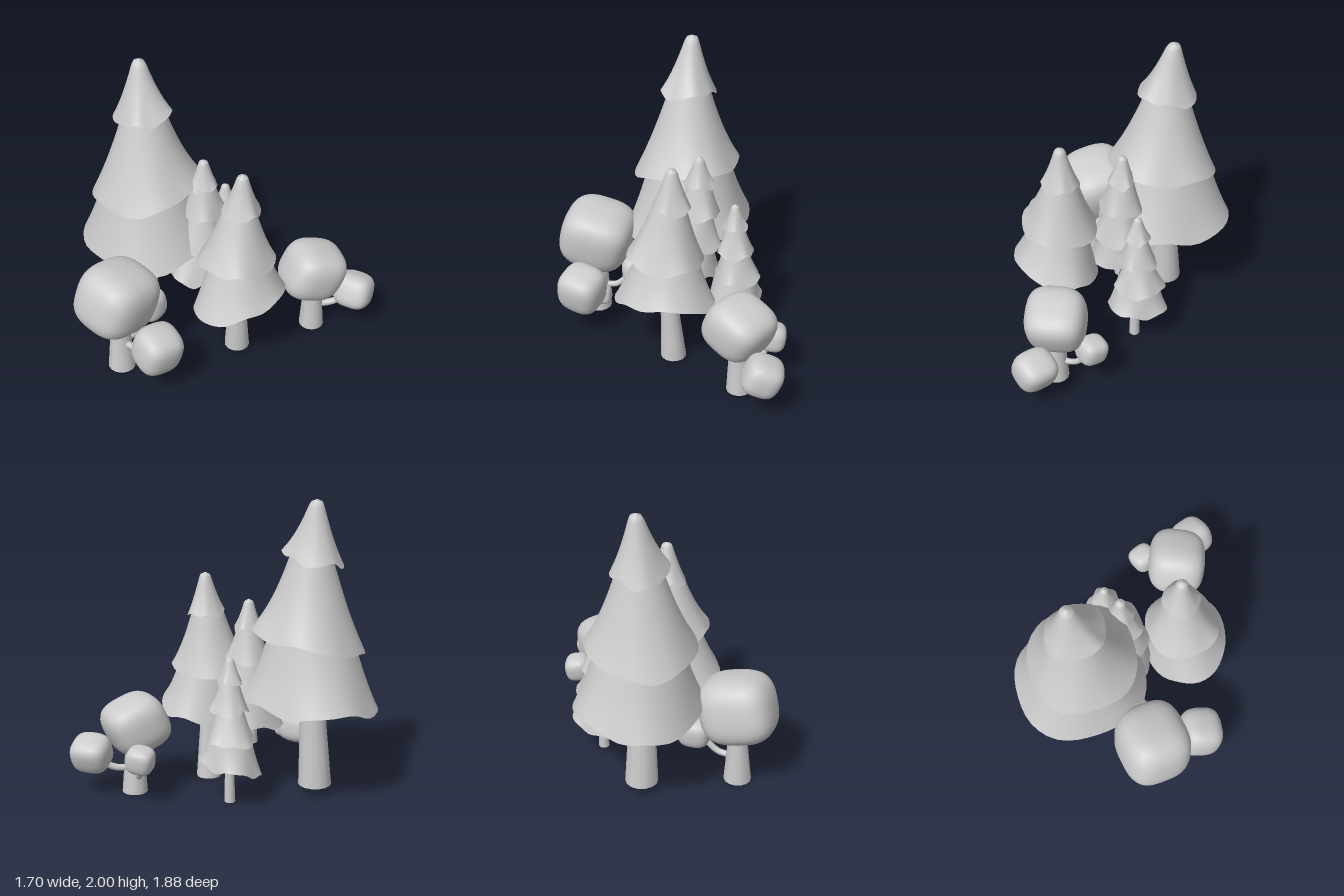
import * as THREE from 'three';
import { mergeVertices } from 'three/addons/utils/BufferGeometryUtils.js';

const material = new THREE.MeshStandardMaterial({ color: 0xcccccc, side: THREE.DoubleSide });

function addMesh(parent, name, geometry) {
  const mesh = new THREE.Mesh(geometry, material);
  mesh.name = name;
  parent.add(mesh);
  return mesh;
}

function addGroup(parent, name) {
  const group = new THREE.Group();
  group.name = name;
  parent.add(group);
  return group;
}

// Open trunk, narrowing quickly near the foot, leaning from base to top; both are [x, y, z, radius]
function trunk(parent, base, top) {
  const height = top[1] - base[1];
  const geometry = new THREE.CylinderGeometry(1, 1, 1, 14, 4, true);
  const pos = geometry.attributes.position;
  for (let i = 0; i < pos.count; i++) {
    const t = pos.getY(i) + 0.5;
    const r = THREE.MathUtils.lerp(base[3], top[3], Math.min(1, t * 1.6));
    pos.setXYZ(i,
      THREE.MathUtils.lerp(base[0], top[0], t) + pos.getX(i) * r,
      base[1] + t * height,
      THREE.MathUtils.lerp(base[2], top[2], t) + pos.getZ(i) * r);
  }
  geometry.computeVertexNormals();
  addMesh(parent, 'trunk', geometry);
}

// Skirt of needles swept in rings from top [x, y, z, radius] to a wavy rim
// [x, y, z, radiusX, radiusZ], with a hollow underside
function tier(parent, name, top, rim, { tilt = [0, 0], wave = 0.02, seed = 0, lobe = 0.06, phase = seed, apex = false } = {}) {
  const segments = 40, rows = 9;
  const skirt = [], under = [];
  const point = (t, s, j) => {
    const a = (j / segments) * Math.PI * 2, c = Math.cos(a), n = Math.sin(a);
    const ragged = Math.sin(3 * a + seed) * 0.6 + Math.sin(5 * a + seed * 2.3) * 0.4
      + Math.sin(8 * a + seed * 1.7) * 0.25;
    const flare = 0.8 * t + 0.2 * t * t * t;
    const grow = 1 + lobe * Math.sin(4 * a + phase) * t * t;
    const rx = THREE.MathUtils.lerp(top[3], rim[3] * grow, flare) * s;
    const rz = THREE.MathUtils.lerp(top[3], rim[4] * grow, flare) * s;
    const y = THREE.MathUtils.lerp(top[1], rim[1], t)
      + t * t * (wave * ragged + tilt[0] * c * rim[3] + tilt[1] * n * rim[4]);
    return [
      THREE.MathUtils.lerp(top[0], rim[0], t) + c * rx, y,
      THREE.MathUtils.lerp(top[2], rim[2], t) + n * rz];
  };
  const rise = (top[1] - rim[1]) * 0.25;
  const rings = [];
  if (apex) rings.push([0, 0]);
  for (let i = 0; i <= rows; i++) rings.push([i / rows, 1]);
  for (const [t, s] of rings)
    for (let j = 0; j < segments; j++) {
      const p = point(t, s, j);
      if (apex && t === 0 && s === 1) p[1] -= 0.015;
      skirt.push(...p);
    }
  for (const s of [1, 0.7, 0.35, 0])
    for (let j = 0; j < segments; j++) {
      const p = point(1, s, j);
      p[1] = THREE.MathUtils.lerp(rim[1] + rise, p[1], s);
      under.push(...p);
    }
  const surface = (vertices) => {
    const index = [], count = vertices.length / 3 / segments;
    for (let i = 0; i < count - 1; i++)
      for (let j = 0; j < segments; j++) {
        const k = (j + 1) % segments;
        const a = i * segments + j, b = i * segments + k;
        index.push(a, b, a + segments, b, b + segments, a + segments);
      }
    const geometry = new THREE.BufferGeometry();
    geometry.setAttribute('position', new THREE.Float32BufferAttribute(vertices, 3));
    geometry.setIndex(index);
    geometry.computeVertexNormals();
    return geometry;
  };
  const group = addGroup(parent, name);
  addMesh(group, 'needles', surface(skirt));
  addMesh(group, 'underside', surface(under));
}

// Rounded, slightly turned cube of leaves fitted between two corners
function foliage(parent, name, min, max, turn) {
  let geometry = new THREE.BoxGeometry(2, 2, 2, 10, 10, 10);
  geometry.deleteAttribute('normal');
  geometry.deleteAttribute('uv');
  geometry = mergeVertices(geometry);
  const pos = geometry.attributes.position;
  const p = new THREE.Vector3();
  for (let i = 0; i < pos.count; i++) {
    p.fromBufferAttribute(pos, i);
    const n = Math.pow(Math.abs(p.x) ** 3 + Math.abs(p.y) ** 3 + Math.abs(p.z) ** 3, 1 / 3);
    p.divideScalar(n);
    pos.setXYZ(i, p.x, p.y, p.z);
  }
  geometry.rotateX(turn[0]).rotateY(turn[1]).rotateZ(turn[2]);
  geometry.center();
  geometry.computeBoundingBox();
  const size = geometry.boundingBox.getSize(new THREE.Vector3());
  geometry.scale(...size.toArray().map((s, i) => (max[i] - min[i]) / s));
  geometry.translate(...min.map((m, i) => (m + max[i]) / 2));
  geometry.computeVertexNormals();
  addMesh(parent, name, geometry);
}

function branch(parent, radius, ...points) {
  const curve = new THREE.CatmullRomCurve3(points.map((q) => new THREE.Vector3(...q)));
  addMesh(parent, 'branch', new THREE.TubeGeometry(curve, 10, radius, 8));
}

export function createModel() {
  const model = new THREE.Group();
  model.name = 'grove';

  // Tall pine
  const tall = addGroup(model, 'tallPine');
  trunk(tall, [-0.44, 0.07, 0.15, 0.11], [-0.41, 0.85, 0.14, 0.085]);
  tier(tall, 'lowerTier', [-0.42, 1.3, 0.12, 0.22], [-0.41, 0.645, 0.12, 0.455, 0.415],
    { tilt: [0.02, -0.1], wave: 0.03, seed: 3.6, lobe: 0.03, phase: -1.57 });
  tier(tall, 'middleTier', [-0.41, 1.68, 0.12, 0.12], [-0.39, 1.07, 0.13, 0.365, 0.355],
    { tilt: [0.13, -0.15], wave: 0.02, seed: 2.4, lobe: 0.03, phase: -1.57 });
  tier(tall, 'topTier', [-0.45, 2.0, 0.12, 0.036], [-0.415, 1.61, 0.13, 0.2, 0.18],
    { tilt: [0.15, -0.1], wave: 0.025, seed: 4, lobe: 0.04, apex: true });

  // Medium pine
  const medium = addGroup(model, 'mediumPine');
  trunk(medium, [0.325, 0, -0.045, 0.085], [0.35, 0.65, -0.01, 0.058]);
  tier(medium, 'lowerTier', [0.35, 0.95, -0.02, 0.15], [0.38, 0.475, -0.005, 0.28, 0.335],
    { tilt: [0.25, -0.06], wave: 0.025, seed: 2, lobe: 0.01 });
  tier(medium, 'middleTier', [0.34, 1.22, -0.03, 0.09], [0.35, 0.79, 0, 0.25, 0.255],
    { tilt: [0.03, 0.08], wave: 0.025, seed: 5, lobe: 0.03 });
  tier(medium, 'topTier', [0.345, 1.44, -0.045, 0.03], [0.345, 1.16, -0.04, 0.125, 0.13],
    { wave: 0.02, seed: 0.7, lobe: 0.03, apex: true });

  // Two slender pines with four tiers each
  const slender = addGroup(model, 'slenderPine');
  trunk(slender, [-0.06, 0.34, -0.06, 0.045], [-0.06, 0.75, -0.07, 0.035]);
  tier(slender, 'firstTier', [-0.06, 0.78, -0.06, 0.11], [-0.05, 0.46, -0.01, 0.18, 0.2], { wave: 0.03, seed: 3 });
  tier(slender, 'secondTier', [-0.06, 1.0, -0.07, 0.08], [-0.05, 0.68, -0.05, 0.17, 0.18], { wave: 0.02, seed: 1.2 });
  tier(slender, 'thirdTier', [-0.06, 1.2, -0.08, 0.06], [-0.05, 0.92, -0.08, 0.14, 0.145], { wave: 0.02, seed: 5 });
  tier(slender, 'topTier', [-0.06, 1.33, -0.08, 0.025], [-0.055, 1.13, -0.08, 0.09, 0.1],
    { wave: 0.02, seed: 2, apex: true });

  const small = addGroup(model, 'smallPine');
  trunk(small, [-0.09, 0, -0.315, 0.036], [-0.09, 0.5, -0.32, 0.028]);
  tier(small, 'firstTier', [-0.1, 0.52, -0.32, 0.12], [-0.105, 0.25, -0.325, 0.205, 0.185],
    { tilt: [0.12, -0.2], wave: 0.025, seed: 3, phase: -1.57 });
  tier(small, 'secondTier', [-0.1, 0.68, -0.32, 0.075], [-0.115, 0.44, -0.34, 0.165, 0.155], { wave: 0.02, seed: 1 });
  tier(small, 'thirdTier', [-0.1, 0.87, -0.32, 0.05], [-0.1, 0.64, -0.33, 0.125, 0.125], { wave: 0.02, seed: 5 });
  tier(small, 'topTier', [-0.1, 1.0, -0.32, 0.02], [-0.1, 0.83, -0.325, 0.085, 0.08],
    { wave: 0.015, seed: 2, apex: true });

  // Front round tree
  const front = addGroup(model, 'frontRoundTree');
  trunk(front, [-0.05, 0, 0.675, 0.093], [-0.065, 0.5, 0.67, 0.065]);
  foliage(front, 'mainFoliage', [-0.32, 0.33, 0.41], [0.17, 0.82, 0.94], [-0.25, 0.1, -0.15]);
  foliage(front, 'sideFoliage', [0.13, 0.18, 0.48], [0.44, 0.51, 0.8], [-0.1, -0.15, -0.25]);
  foliage(front, 'backFoliage', [-0.23, 0.23, 0.27], [0.02, 0.45, 0.5], [0.1, 0.2, 0.1]);
  foliage(front, 'budFoliage', [0.07, 0.16, 0.49], [0.2, 0.29, 0.62], [0.1, 0.2, 0.1]);
  branch(front, 0.024, [-0.03, 0.21, 0.67], [0.08, 0.22, 0.66], [0.24, 0.28, 0.64]);
  branch(front, 0.022, [-0.06, 0.18, 0.65], [-0.07, 0.19, 0.54], [-0.1, 0.31, 0.42]);

  // Rear round tree
  const rear = addGroup(model, 'rearRoundTree');
  trunk(rear, [0.52, 0, -0.58, 0.085], [0.52, 0.45, -0.57, 0.065]);
  foliage(rear, 'mainFoliage', [0.29, 0.28, -0.81], [0.73, 0.68, -0.33], [-0.35, -0.4, -0.05]);
  foliage(rear, 'sideFoliage', [0.56, 0.16, -0.94], [0.85, 0.42, -0.65], [-0.4, 0.35, 0]);
  foliage(rear, 'smallFoliage', [0.21, 0.22, -0.83], [0.42, 0.41, -0.64], [-0.1, 0.35, 0.15]);
  branch(rear, 0.024, [0.53, 0.17, -0.59], [0.6, 0.18, -0.68], [0.69, 0.25, -0.78]);
  branch(rear, 0.02, [0.5, 0.14, -0.59], [0.41, 0.15, -0.65], [0.32, 0.28, -0.73]);

  return model;
}
